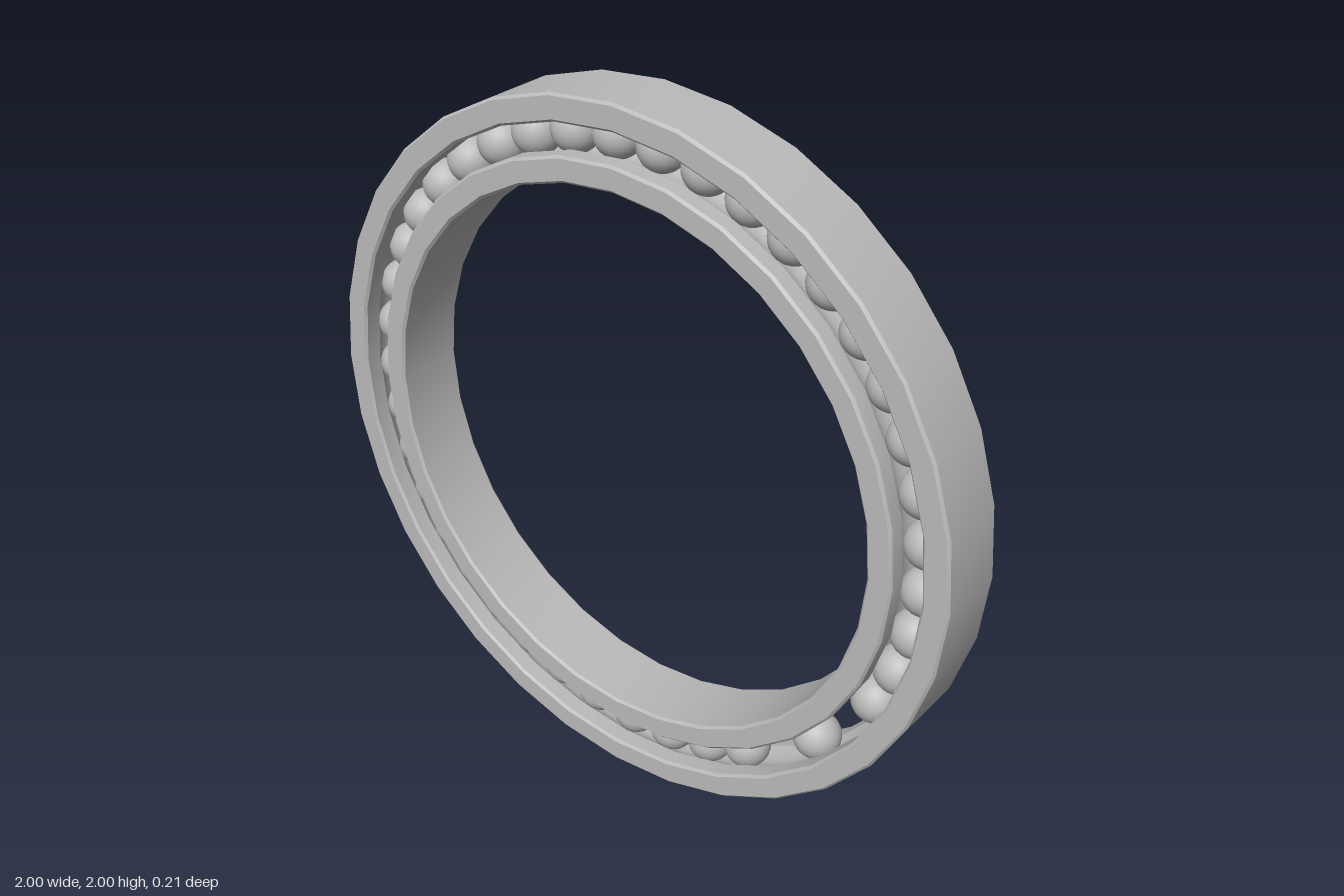
import * as THREE from 'three';
import { toCreasedNormals } from 'three/addons/utils/BufferGeometryUtils.js';

const HALF = 0.105;      // half width of the rings
const PITCH = 0.885;     // radius of the ball circle
const BALL = 0.066;
const GROOVE = 0.067;
const BEVEL = 0.007;

// Points of the ball groove where it cuts a wall at radius r, listed from -y to +y
function groove(r) {
  const side = Math.sign(r - PITCH);
  const limit = Math.acos(Math.abs(r - PITCH) / GROOVE);
  const points = [];
  for (let i = 0; i <= 8; i++) {
    const a = -limit + (2 * limit * i) / 8;
    points.push([PITCH + side * GROOVE * Math.cos(a), GROOVE * Math.sin(a)]);
  }
  return points;
}

// Ring with bevelled rims and a groove in the wall that faces the balls
function ring(name, inner, outer, grooveOutside, material) {
  const h = HALF, b = BEVEL;
  const profile = [
    [outer - b, -h], [outer, -h + b],
    ...(grooveOutside ? groove(outer) : []),
    [outer, h - b], [outer - b, h],
    [inner + b, h], [inner, h - b],
    ...(grooveOutside ? [] : groove(inner).reverse()),
    [inner, -h + b], [inner + b, -h], [outer - b, -h],
  ].map(([r, y]) => new THREE.Vector2(r, y));
  const geometry = toCreasedNormals(new THREE.LatheGeometry(profile, 32), 0.5);
  geometry.rotateX(Math.PI / 2);
  const mesh = new THREE.Mesh(geometry, material);
  mesh.name = name;
  return mesh;
}

export function createModel() {
  const steel = new THREE.MeshStandardMaterial({ color: 0xbababa });
  steel.name = 'steel grey';

  const model = new THREE.Group();
  model.name = 'ballBearing';
  model.position.y = 1;
  model.add(ring('outerRing', 0.927, 1, false, steel));
  model.add(ring('innerRing', 0.775, 0.845, true, steel));

  // Balls, evenly spaced with two places left empty
  const balls = new THREE.Group();
  balls.name = 'balls';
  const ballGeometry = new THREE.SphereGeometry(BALL, 24, 16);
  const count = 41;
  const empty = [14, 16];
  for (let i = 0; i < count; i++) {
    if (empty.includes(i)) continue;
    const a = THREE.MathUtils.degToRad(85.2 - (360 / count) * i);
    const ball = new THREE.Mesh(ballGeometry, steel);
    ball.name = 'ball';
    ball.position.set(PITCH * Math.cos(a), PITCH * Math.sin(a), 0);
    balls.add(ball);
  }
  model.add(balls);

  const root = new THREE.Group();
  root.name = 'bearing';
  root.add(model);
  return root;
}
